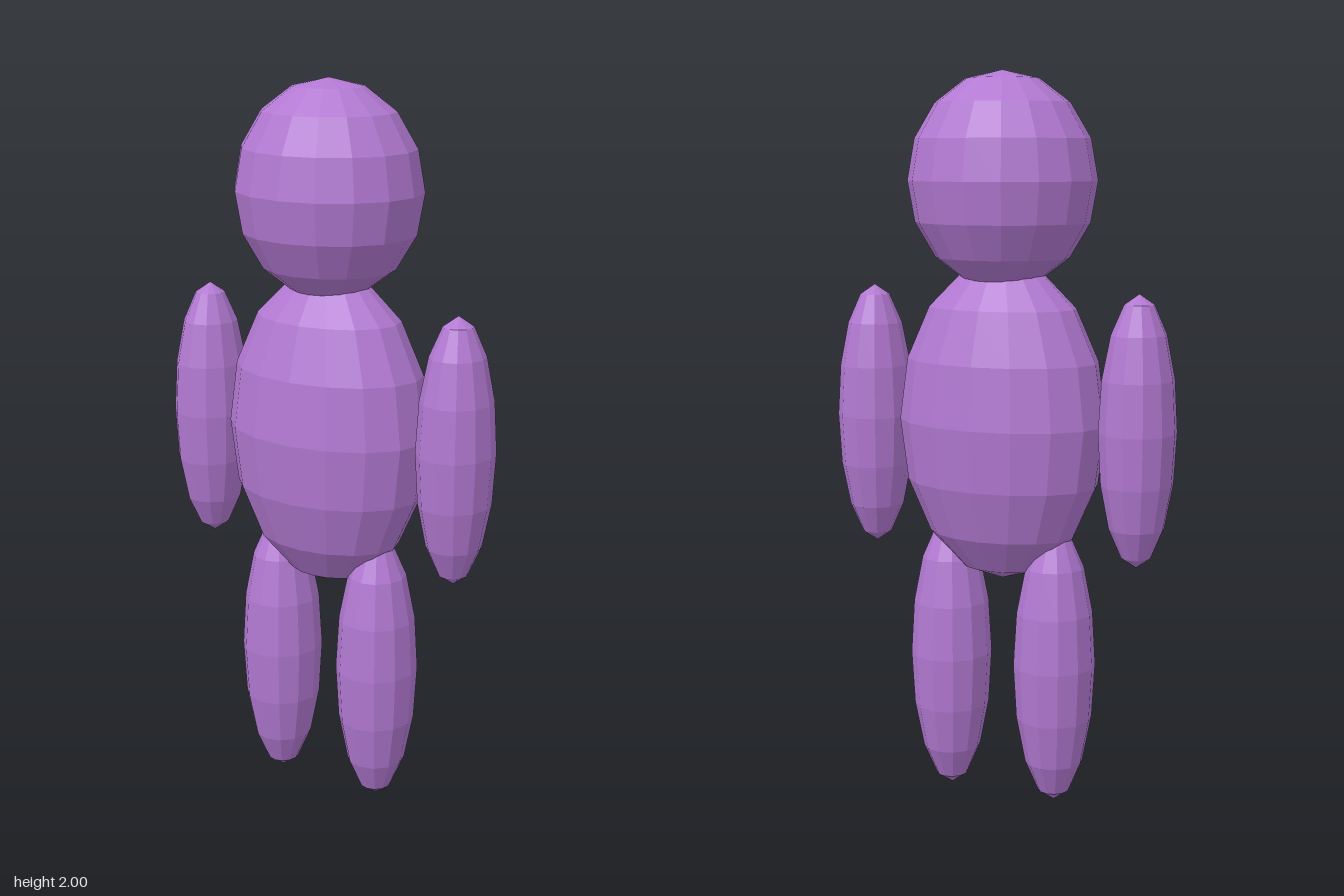
import * as THREE from 'three';

export function createModel() {
  const model = new THREE.Group();
  model.name = 'figure';
  const purple = new THREE.MeshStandardMaterial({ color: 0xb279d2 });
  purple.name = 'purple';
  purple.flatShading = true;

  // Low-poly ellipsoid with the given centre and radii
  function ellipsoid(name, [x, y, z], [rx, ry, rz], sides) {
    const geometry = new THREE.SphereGeometry(1, sides, 8);
    geometry.scale(rx, ry, rz);
    const mesh = new THREE.Mesh(geometry, purple);
    mesh.name = name;
    mesh.position.set(x, y, z);
    model.add(mesh);
  }

  ellipsoid('head', [0, 1.71, 0], [0.26, 0.29, 0.235], 16);
  ellipsoid('body', [0, 1.06, 0], [0.297, 0.44, 0.207], 16);

  // Mirrored limbs
  for (const [side, s] of [['left', 1], ['right', -1]]) {
    ellipsoid(side + 'Arm', [s * 0.396, 1.055, 0], [0.104, 0.366, 0.114], 12);
    ellipsoid(side + 'Leg', [s * 0.159, 0.395, 0], [0.112, 0.39, 0.119], 12);
  }

  // Stand exactly on the ground
  const box = new THREE.Box3().setFromObject(model);
  for (const part of model.children) if (part.name.endsWith('Leg')) part.position.y -= box.min.y;
  return model;
}
